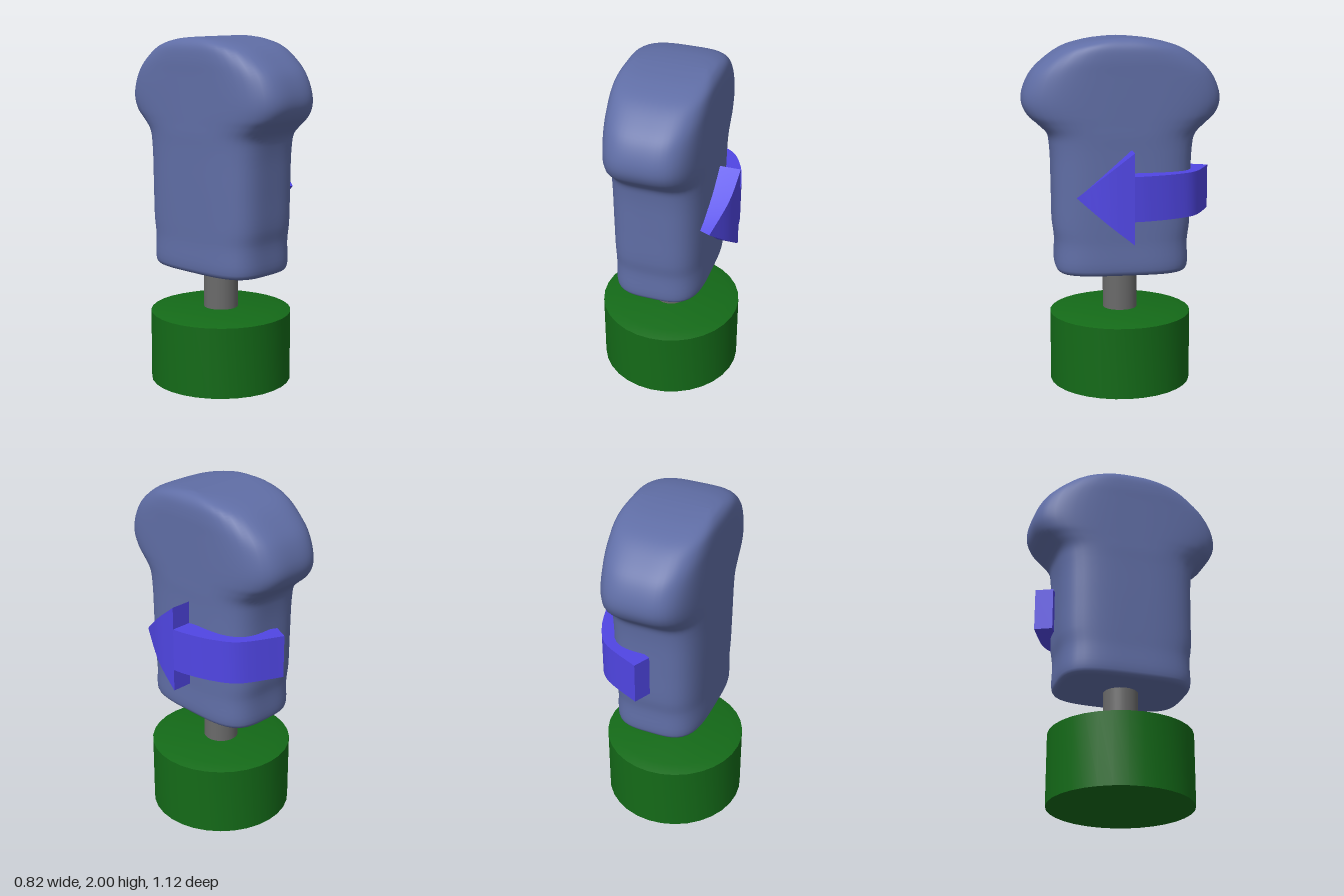
import * as THREE from 'three';
import { toCreasedNormals } from 'three/addons/utils/BufferGeometryUtils.js';

const mat = (color) => new THREE.MeshStandardMaterial({ color });

function part(name, geometry, material) {
  const mesh = new THREE.Mesh(geometry, material);
  mesh.name = name;
  return mesh;
}

// Rounded body: squarish rings lofted upward through [halfWidth, y, halfDepth]
function bodyGeometry() {
  const profile = [
    [0.21, 0.668, 0.33], [0.245, 0.675, 0.365], [0.26, 0.70, 0.38], [0.261, 0.85, 0.38],
    [0.263, 0.95, 0.392], [0.266, 1.15, 0.395], [0.268, 1.38, 0.402], [0.27, 1.46, 0.418],
    [0.27, 1.52, 0.475], [0.27, 1.57, 0.53], [0.27, 1.63, 0.558], [0.27, 1.7, 0.555],
    [0.27, 1.8, 0.51], [0.27, 1.88, 0.43], [0.263, 1.945, 0.33], [0.24, 1.983, 0.2],
    [0.21, 1.997, 0.08], [0.19, 2.0, 0],
  ];
  const curve = new THREE.CatmullRomCurve3(profile.map((p) => new THREE.Vector3(...p)));
  const rings = [new THREE.Vector3(0, 0.668, 0), ...curve.getPoints(85)];
  const sides = 64, n = 3.7;
  const pos = [], idx = [];
  rings.forEach((r, i) => {
    for (let j = 0; j < sides; j++) {
      const a = (j / sides) * Math.PI * 2, c = Math.cos(a), s = Math.sin(a);
      const k = Math.pow(Math.abs(c) ** n + Math.abs(s) ** n, -1 / n);
      pos.push(r.x * c * k, r.y, Math.max(r.z, 0) * s * k);
      if (i === rings.length - 1) continue;
      const p = i * sides + j, q = i * sides + (j + 1) % sides;
      idx.push(q, p, p + sides, q, p + sides, q + sides);
    }
  });
  const g = new THREE.BufferGeometry();
  g.setAttribute('position', new THREE.Float32BufferAttribute(pos, 3));
  g.setIndex(idx);
  g.computeVertexNormals();
  return g;
}

// Bent bar between an outer and an inner plan curve, with a half height per step
function bentBar(outer, inner, steps, halfHeight) {
  const curve = (pts) => new THREE.SplineCurve(pts.map((p) => new THREE.Vector2(...p)));
  const a = curve(outer), b = curve(inner), y = 1.137;
  const pos = [], idx = [];
  for (let i = 0; i <= steps; i++) {
    const t = i / steps, o = a.getPointAt(t), n = b.getPointAt(t), h = halfHeight(t);
    pos.push(o.x, y + h, o.y, o.x, y - h, o.y, n.x, y - h, n.y, n.x, y + h, n.y);
    if (i === steps) continue;
    for (let j = 0; j < 4; j++) {
      const p = i * 4 + j, q = i * 4 + (j + 1) % 4;
      idx.push(p, q, q + 4, p, q + 4, p + 4);
    }
  }
  const e = steps * 4;
  idx.push(3, 2, 1, 3, 1, 0, e, e + 1, e + 2, e, e + 2, e + 3);
  const g = new THREE.BufferGeometry();
  g.setAttribute('position', new THREE.Float32BufferAttribute(pos, 3));
  g.setIndex(idx);
  return toCreasedNormals(g, 0.5);
}

export function createModel() {
  const model = new THREE.Group();

  // Chamfered round base
  const baseProfile = [[0, 0], [0.41, 0], [0.41, 0.41], [0.345, 0.43], [0, 0.43]];
  const base = new THREE.LatheGeometry(baseProfile.map((p) => new THREE.Vector2(...p)), 32);
  model.add(part('base', toCreasedNormals(base, 0.3), mat(0x146a18)));

  // Short shaft
  const shaft = new THREE.CylinderGeometry(0.1, 0.1, 0.3, 32);
  shaft.translate(0, 0.55, 0);
  model.add(part('shaft', shaft, mat(0x6a6a6a)));

  // Knob body
  model.add(part('body', bodyGeometry(), mat(0x606ea6)));

  // Curved direction arrow wrapping the left side
  const arrow = new THREE.Group();
  arrow.name = 'arrow';
  const blue = mat(0x5046e4);
  arrow.add(part('arrowHead', bentBar(
    [[0.31, 0.28], [0.375, 0.12], [0.395, -0.03]],
    [[0.25, 0.255], [0.27, 0.11], [0.275, -0.03]],
    8, (t) => 0.255 * t), blue));
  arrow.add(part('arrowTail', bentBar(
    [[0.395, -0.03], [0.38, -0.12], [0.33, -0.27], [0.24, -0.4], [0.02, -0.51]],
    [[0.275, -0.03], [0.255, -0.13], [0.21, -0.24], [0.13, -0.33], [-0.025, -0.415]],
    20, () => 0.125), blue));
  model.add(arrow);

  return model;
}
